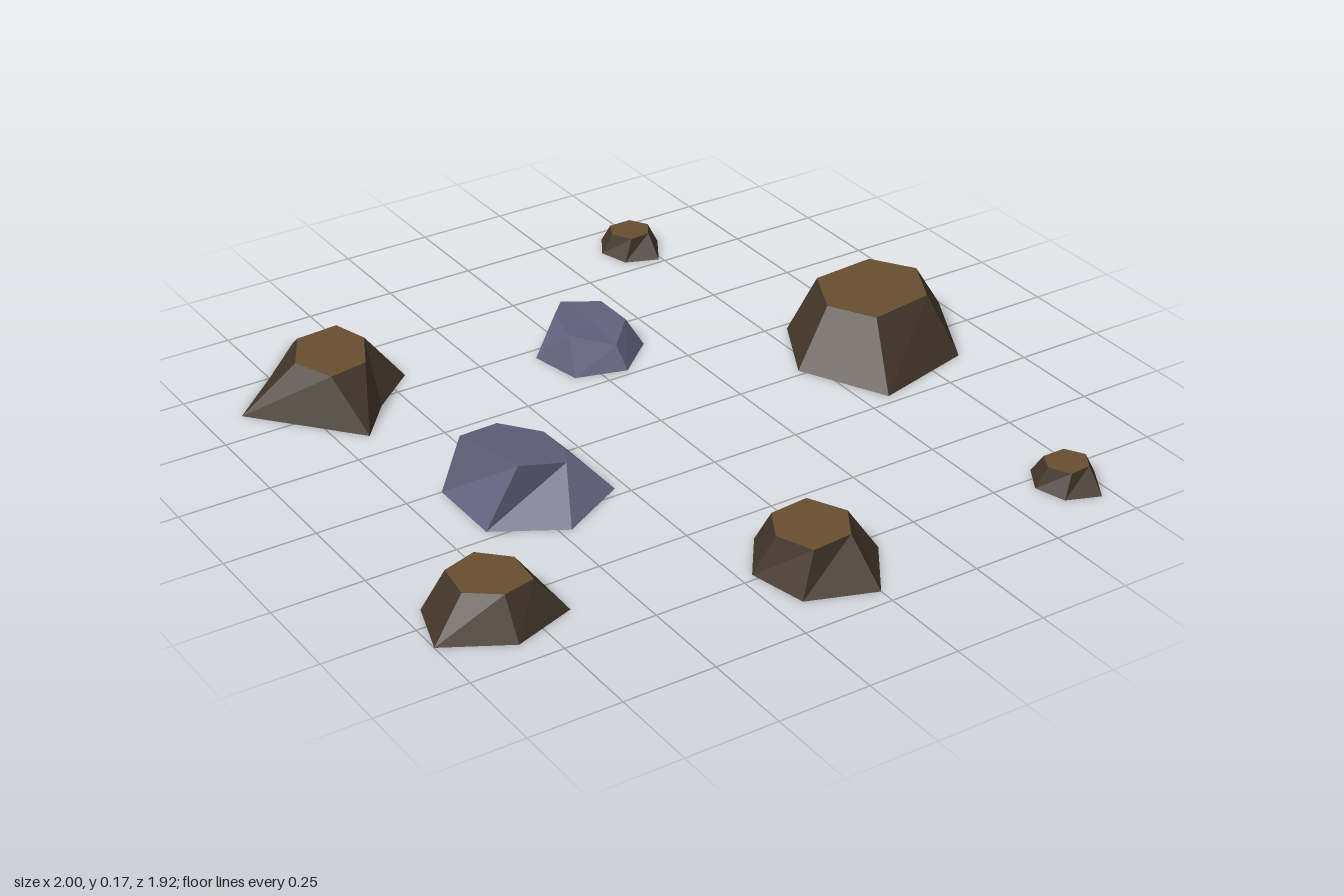
import * as THREE from 'three';

const mat = (name, color) => {
  const m = new THREE.MeshStandardMaterial({ color, flatShading: true });
  m.name = name;
  return m;
};

// Mesh from triangles given as lists of three points
function facetMesh(name, triangles, material) {
  const g = new THREE.BufferGeometry();
  g.setAttribute('position', new THREE.Float32BufferAttribute(triangles.flat(2), 3));
  g.computeVertexNormals();
  const mesh = new THREE.Mesh(g, material);
  mesh.name = name;
  return mesh;
}

// Triangles between a ring of points and its middle
function cap(ring, up) {
  const c = [0, 1, 2].map((k) => ring.reduce((s, p) => s + p[k], 0) / ring.length);
  return ring.map((p, i) => {
    const q = ring[(i + 1) % ring.length];
    return up ? [c, q, p] : [c, p, q];
  });
}

// Sloping sides between two rings; rings run clockwise seen from above
function walls(base, top) {
  return base.flatMap((b, i) => {
    const j = (i + 1) % base.length;
    return [[b, top[i], base[j]], [base[j], top[i], top[j]]];
  });
}

function stone(name, base, top, sideMaterial, topMaterial, underMaterial) {
  const group = new THREE.Group();
  group.name = name;
  group.add(
    facetMesh(name + 'Sides', walls(base, top), sideMaterial),
    facetMesh(name + 'Top', cap(top, true), topMaterial),
    facetMesh(name + 'Underside', cap(base, false), underMaterial),
  );
  return group;
}

// Flat-topped earth mounds: [x, z] rings for foot and top
const smallFoot = [[-0.04, -0.09], [0.065, -0.095], [0.09, 0.005], [0.03, 0.105], [-0.06, 0.07], [-0.085, -0.015]];
const smallTop = [[-0.035, -0.05], [0.03, -0.05], [0.06, 0], [0.03, 0.05], [-0.03, 0.055], [-0.06, 0]];
const shift = (ring, x, z) => ring.map((p) => [p[0] + x, p[1] + z]);

const mounds = [
  { name: 'backLeftMound', h: 0.13,
    foot: [[-0.74, -0.76], [-0.61, -0.89], [-0.44, -0.57], [-0.57, -0.46], [-0.67, -0.34], [-0.9, -0.61]],
    top: [[-0.69, -0.69], [-0.57, -0.7], [-0.54, -0.6], [-0.6, -0.48], [-0.71, -0.46], [-0.755, -0.575]] },
  { name: 'largeMound', h: 0.16,
    foot: [[0.56, -0.23], [0.79, -0.285], [1, -0.125], [0.86, 0.145], [0.57, 0.22], [0.45, -0.02]],
    top: [[0.62, -0.18], [0.805, -0.195], [0.88, -0.08], [0.81, 0.06], [0.62, 0.09], [0.55, -0.035]] },
  { name: 'sideMound', h: 0.105,
    foot: [[-0.95, 0.43], [-0.81, 0.38], [-0.675, 0.455], [-0.655, 0.62], [-0.83, 0.68], [-1, 0.585]],
    top: [[-0.895, 0.455], [-0.8, 0.425], [-0.73, 0.495], [-0.74, 0.6], [-0.83, 0.62], [-0.91, 0.56]] },
  { name: 'frontMound', h: 0.11,
    foot: [[-0.12, 0.6], [0.05, 0.585], [0.11, 0.795], [0, 0.955], [-0.18, 0.89], [-0.215, 0.73]],
    top: [[-0.12, 0.67], [-0.01, 0.66], [0.04, 0.76], [-0.015, 0.85], [-0.13, 0.86], [-0.17, 0.76]] },
  { name: 'smallBackMound', h: 0.06, foot: shift(smallFoot, 0.46, -0.87), top: shift(smallTop, 0.46, -0.87) },
  { name: 'smallFrontMound', h: 0.06, foot: shift(smallFoot, 0.685, 0.805), top: shift(smallTop, 0.685, 0.805) },
];

// Grey rocks with slanting tops: foot [x, z], top [x, y, z]
const rocks = [
  { name: 'largeRock',
    foot: [[-0.65, 0], [-0.47, -0.1], [-0.28, 0], [-0.28, 0.22], [-0.47, 0.325], [-0.65, 0.22]],
    top: [[-0.61, 0.165, 0.03], [-0.47, 0.127, -0.03], [-0.37, 0.1, 0.03],
      [-0.37, 0.1, 0.13], [-0.41, 0.111, 0.205], [-0.55, 0.149, 0.21]] },
  { name: 'smallRock',
    foot: [[0.01, -0.56], [0.155, -0.515], [0.185, -0.37], [0.07, -0.27], [-0.07, -0.31], [-0.1, -0.46]],
    top: [[0.01, 0.118, -0.51], [0.12, 0.1, -0.48], [0.14, 0.08, -0.39],
      [0.06, 0.06, -0.31], [-0.05, 0.095, -0.37], [-0.04, 0.115, -0.46]] },
];

export function createModel() {
  const model = new THREE.Group();
  model.name = 'rockyMounds';
  const earth = mat('darkEarth', 0x423629);
  const soil = mat('brownSoil', 0x664e2f);
  const grey = mat('blueGreyStone', 0x62617d);
  const under = mat('blackUnderside', 0x0a0a0a);
  const lift = (ring, y) => ring.map(([x, z]) => [x, y, z]);

  for (const m of mounds) model.add(stone(m.name, lift(m.foot, 0), lift(m.top, m.h), earth, soil, under));
  for (const r of rocks) model.add(stone(r.name, lift(r.foot, 0), r.top, grey, grey, under));
  return model;
}
